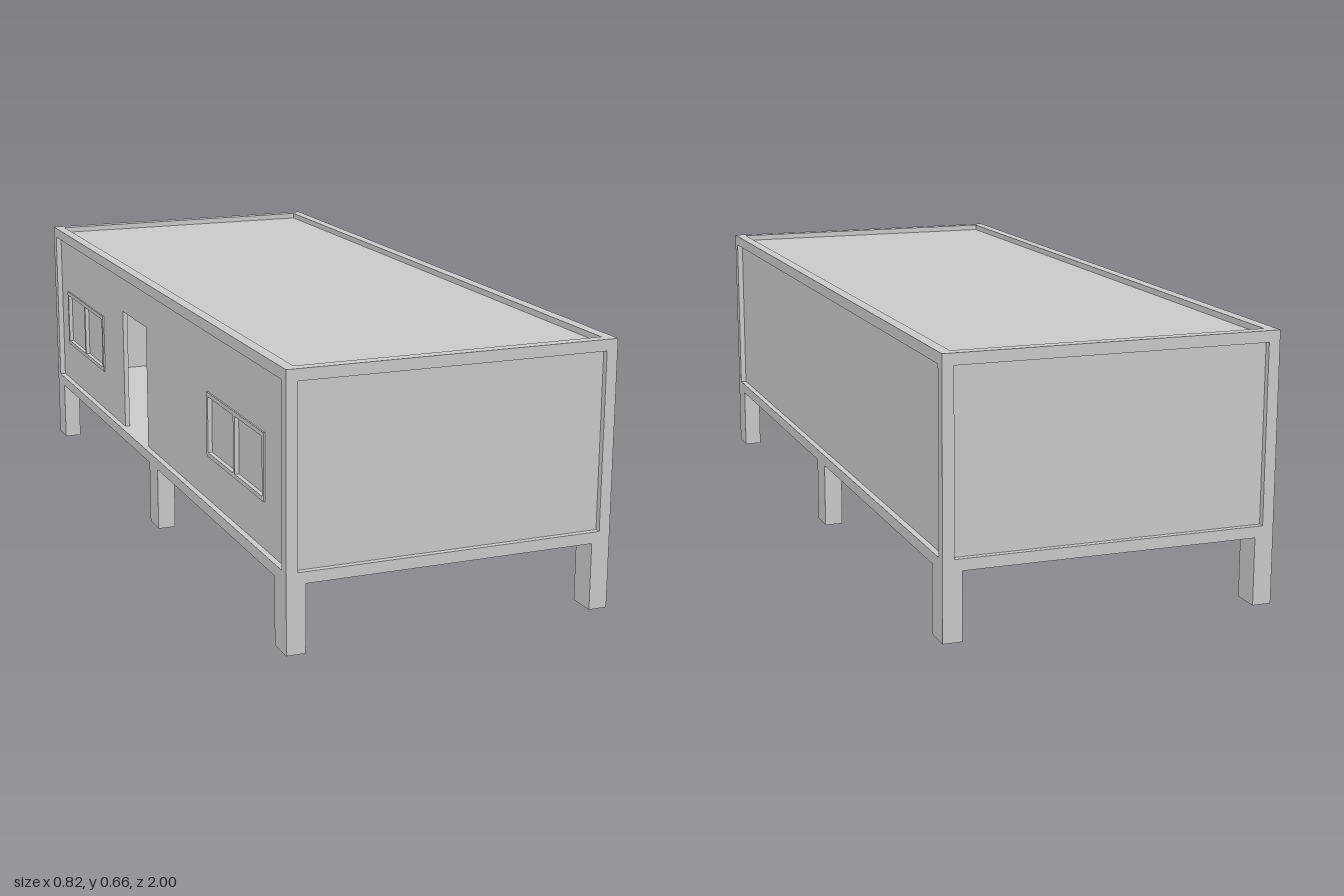
import * as THREE from 'three';

const W = 0.412, L = 1, BOTTOM = 0.167, TOP = 0.662; // outer shell
const T = 0.028;       // frame bar thickness
const RECESS = 0.015;  // panel set-back from the frame
const P = T - RECESS;  // panel thickness

const grey = new THREE.MeshStandardMaterial({ color: 0xcccccc });
const greyDouble = new THREE.MeshStandardMaterial({ color: 0xcccccc, side: THREE.DoubleSide });

// Box given by its min and max corners
function box(parent, name, [x0, y0, z0], [x1, y1, z1]) {
  const mesh = new THREE.Mesh(new THREE.BoxGeometry(x1 - x0, y1 - y0, z1 - z0), grey);
  mesh.position.set((x0 + x1) / 2, (y0 + y1) / 2, (z0 + z1) / 2);
  mesh.name = name;
  parent.add(mesh);
  return mesh;
}

// Path around a rectangle, for holes
function rectHole(u0, v0, u1, v1) {
  return new THREE.Path([[u0, v0], [u0, v1], [u1, v1], [u1, v0]].map(p => new THREE.Vector2(...p)));
}

// Plate drawn in (z, y) and extruded toward -x, starting at the given x
function sidePlate(parent, name, shape, x, depth) {
  const mesh = new THREE.Mesh(new THREE.ExtrudeGeometry(shape, { depth, bevelEnabled: false }), grey);
  mesh.rotation.y = -Math.PI / 2;
  mesh.position.x = x;
  mesh.name = name;
  parent.add(mesh);
}

export function createModel() {
  const model = new THREE.Group();
  const ix = W - T, iz = L - T, iy0 = BOTTOM + T, iy1 = TOP - T;

  // Frame: corner posts, long beams and cross beams
  const frame = new THREE.Group();
  frame.name = 'frame';
  model.add(frame);
  for (const sx of [-1, 1]) {
    const xa = sx > 0 ? ix : -W, xb = xa + T;
    for (const sz of [-1, 1]) {
      const za = sz > 0 ? iz : -L;
      box(frame, 'cornerPost', [xa, BOTTOM, za], [xb, TOP, za + T]);
    }
    for (const y of [BOTTOM, iy1]) box(frame, 'longBeam', [xa, y, -iz], [xb, y + T, iz]);
  }
  for (const sz of [-1, 1]) {
    const za = sz > 0 ? iz : -L;
    for (const y of [BOTTOM, iy1]) box(frame, 'crossBeam', [-ix, y, za], [ix, y + T, za + T]);
  }

  // Recessed panels
  box(model, 'roofPanel', [-ix, iy1, -iz], [ix, iy1 + P, iz]);
  box(model, 'floorPanel', [-ix, iy0 - P, -iz], [ix, iy0, iz]);
  box(model, 'frontWall', [-ix, iy0, iz], [ix, iy1, iz + P]);
  box(model, 'backWall', [-ix, iy0, -iz - P], [ix, iy1, -iz]);
  box(model, 'leftWall', [ix, iy0, -iz], [ix + P, iy1, iz]);

  // Right wall with a doorway notch and two window openings
  const door = { z0: -0.30, z1: -0.08, top: 0.53 };
  const windows = [[-0.895, -0.5], [0.43, 0.83]];
  const wy0 = 0.31, wy1 = 0.475;
  const wall = new THREE.Shape([
    [-iz, iy0], [door.z0, iy0], [door.z0, door.top], [door.z1, door.top], [door.z1, iy0],
    [iz, iy0], [iz, iy1], [-iz, iy1],
  ].map(p => new THREE.Vector2(...p)));
  for (const [z0, z1] of windows) wall.holes.push(rectHole(z0, wy0, z1, wy1));
  sidePlate(model, 'rightWall', wall, -ix, P);

  // Two-pane windows
  for (const [z0, z1] of windows) {
    const win = new THREE.Group();
    win.name = 'window';
    model.add(win);
    const b = 0.011, mid = (z0 + z1) / 2;
    const rim = new THREE.Shape([[z0, wy0], [z1, wy0], [z1, wy1], [z0, wy1]].map(p => new THREE.Vector2(...p)));
    rim.holes.push(rectHole(z0 + b, wy0 + b, mid - b / 2, wy1 - b));
    rim.holes.push(rectHole(mid + b / 2, wy0 + b, z1 - b, wy1 - b));
    sidePlate(win, 'windowFrame', rim, -ix, P + 0.004);
    box(win, 'windowPanes', [-ix - 0.006, wy0 + b / 2, z0 + b / 2], [-ix - 0.002, wy1 - b / 2, z1 - b / 2]);
  }

  // Hollow legs, open at the bottom
  const legW = 0.047, legD = 0.072, legTop = iy0 - P;
  for (const sx of [-1, 1]) {
    for (const z of [-L + legD / 2, 0.014, L - legD / 2]) {
      const geo = new THREE.BoxGeometry(legW, legTop, legD);
      // the fourth face of the box is its underside
      geo.setIndex(Array.from(geo.index.array).filter((_, i) => i < 18 || i >= 24));
      geo.clearGroups();
      const leg = new THREE.Mesh(geo, greyDouble);
      leg.position.set(sx * (W - legW / 2), legTop / 2, z);
      leg.name = 'leg';
      model.add(leg);
    }
  }
  return model;
}
